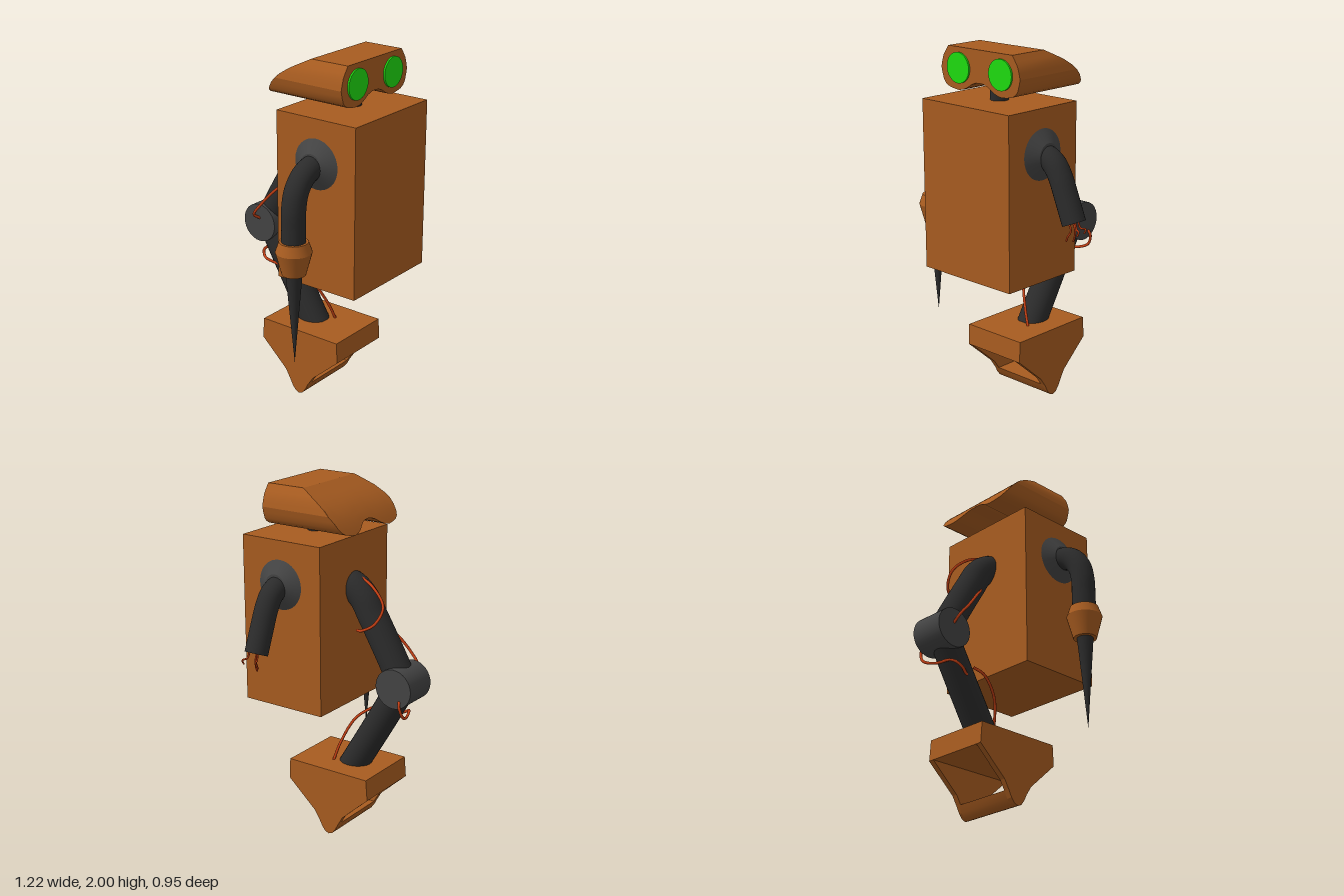
import * as THREE from 'three';
import { toCreasedNormals } from 'three/addons/utils/BufferGeometryUtils.js';

const mat = (color, extra = {}) => {
  const m = new THREE.MeshStandardMaterial(extra);
  m.color.set(color);
  return m;
};
const V = (p) => new THREE.Vector3(...p);

// Head: columns across x, each a closed loop from the front face over the sloped back
function headGeometry() {
  // x, bottom y, top y
  const half = [
    [0, 1.825, 2], [0.03, 1.823, 2], [0.06, 1.812, 2], [0.1, 1.787, 2], [0.13, 1.775, 2], [0.16, 1.77, 2],
    [0.2, 1.775, 2], [0.235, 1.783, 2], [0.258, 1.797, 1.967], [0.272, 1.815, 1.945], [0.283, 1.85, 1.91], [0.29, 1.88, 1.88],
  ];
  const cols = [...half.slice(1).reverse().map(([x, b, t]) => [-x, b, t]), ...half];
  const slope = [[1.77, -0.157], [1.8, -0.14], [1.85, -0.105], [1.9, -0.055], [1.94, 0.005], [2, 0.125]];
  const backZ = (y) => {
    let k = 0;
    while (k < slope.length - 2 && y > slope[k + 1][0]) k++;
    const [[y0, z0], [y1, z1]] = [slope[k], slope[k + 1]];
    return z0 + (z1 - z0) * (y - y0) / (y1 - y0);
  };
  const rows = 8, pos = [], idx = [], n = rows + 3;
  cols.forEach(([x, b, t]) => {
    pos.push(x, b, 0.36, x, t, 0.36);
    for (let r = 0; r <= rows; r++) {
      const y = t + (b - t) * r / rows;
      pos.push(x, y, backZ(y));
    }
  });
  for (let i = 0; i < cols.length - 1; i++) {
    for (let j = 0; j < n; j++) {
      const a = i * n + j, b = i * n + (j + 1) % n;
      idx.push(a, a + n, b, b, a + n, b + n);
    }
  }
  const g = new THREE.BufferGeometry();
  g.setAttribute('position', new THREE.Float32BufferAttribute(pos, 3));
  g.setIndex(idx);
  return toCreasedNormals(g, 0.45);
}

// Extrude a (z, y) outline across x, centred on x
function sideExtrude(outline, width, x) {
  const shape = new THREE.Shape(outline.map(([z, y]) => new THREE.Vector2(z, y)));
  const g = new THREE.ExtrudeGeometry(shape, { depth: width, bevelEnabled: false });
  return g.rotateY(-Math.PI / 2).translate(x + width / 2, 0, 0);
}

export function createModel() {
  const model = new THREE.Group();
  const shell = mat(0xa85c20), dark = mat(0x2b2b2b, { side: THREE.DoubleSide });
  const joint = mat(0x444444), green = mat(0x1edc10), red = mat(0xc84014);

  const add = (name, geo, material, x = 0, y = 0, z = 0) => {
    const m = new THREE.Mesh(geo, material);
    m.name = name;
    m.position.set(x, y, z);
    model.add(m);
    return m;
  };
  const tube = (name, pts, r, material, sides = 24) => add(name,
    new THREE.TubeGeometry(new THREE.CatmullRomCurve3(pts.map(V)), 48, r, sides), material);
  const wire = (name, pts, r = 0.008) => tube(name, pts, r, red, 8);

  // Torso, neck and head
  add('body', new THREE.BoxGeometry(0.64, 0.95, 0.515), shell, 0, 1.245, 0.218);
  add('neck', new THREE.CylinderGeometry(0.05, 0.05, 0.2, 24), dark, 0, 1.8, 0.215);
  add('head', headGeometry(), shell);

  for (const s of [-1, 1]) {
    // Eye discs
    add('eye', new THREE.CylinderGeometry(0.083, 0.083, 0.02, 32).rotateX(Math.PI / 2), green, s * 0.155, 1.89, 0.36);
    // Shoulder cones
    add('shoulder', new THREE.CylinderGeometry(0.068, 0.147, 0.05, 32).rotateZ(-s * Math.PI / 2), joint, s * 0.34, 1.475, 0.224);
  }

  // Right arm with cuff and spike
  const az = 0.222;
  tube('rightArm', [[-0.31, 1.468, az], [-0.37, 1.464, az], [-0.435, 1.43, az], [-0.483, 1.365, az],
    [-0.503, 1.28, az], [-0.505, 1.18, az], [-0.505, 1.06, az]], 0.065, dark);
  const cuff = [[0, 0.92], [0.064, 0.92], [0.098, 1.047], [0.078, 1.105], [0, 1.105]];
  add('cuff', toCreasedNormals(new THREE.LatheGeometry(cuff.map(([r, y]) => new THREE.Vector2(r, y)), 32), 0.5),
    shell, -0.505, 0, az);
  add('spike', new THREE.ConeGeometry(0.045, 0.52, 24).rotateX(Math.PI), dark, -0.505, 0.66, az);

  // Left arm: broken stump with loose wires
  tube('leftArm', [[0.31, 1.468, az], [0.36, 1.464, az], [0.405, 1.435, az], [0.445, 1.375, az],
    [0.49, 1.27, az], [0.54, 1.147, az]], 0.064, dark);
  const cap = add('armEnd', new THREE.CircleGeometry(0.064, 24), dark, 0.54, 1.147, az);
  cap.lookAt(0.92, 0.217, az);
  [[-0.035, -0.1, 0.02], [-0.005, -0.1, 0], [0.04, -0.055, -0.035], [0.057, -0.05, 0.04]].forEach(([dx, dy, dz], i) => {
    const x = 0.515 + i * 0.017, y = 1.15 + i * 0.008;
    wire('handWire', [[x, y, az + dz * 0.5], [x + 0.016, y - 0.045, az + dz * 0.7],
      [0.54 + dx + 0.01, 1.147 + dy + 0.025, az + dz], [0.54 + dx, 1.147 + dy, az + dz]], 0.005);
  });

  // Leg: bent thigh, knee drum, shin
  tube('upperLeg', [[0, 1.455, 0.03], [0, 1.435, -0.04], [0, 1.38, -0.105], [0, 1.29, -0.16], [0, 1.13, -0.255],
    [0, 0.935, -0.365]], 0.083, dark);
  add('knee', new THREE.CylinderGeometry(0.112, 0.112, 0.205, 32).rotateZ(Math.PI / 2), joint, 0.003, 0.935, -0.365);
  tube('lowerLeg', [[0, 0.935, -0.365], [0, 0.65, -0.2], [0, 0.36, -0.027]], 0.083, dark);

  // Leg wires
  wire('thighWire', [[-0.01, 1.51, -0.03], [0.02, 1.46, -0.17], [0.05, 1.365, -0.26], [0.1, 1.28, -0.24],
    [0.113, 1.235, -0.17], [0.075, 1.215, -0.11]]);
  wire('kneeWire', [[-0.075, 1.24, -0.15], [-0.125, 1.17, -0.225], [-0.155, 1.07, -0.31], [-0.145, 1.0, -0.365], [-0.09, 0.96, -0.365]]);
  wire('calfWire', [[0.09, 0.88, -0.4], [0.115, 0.85, -0.41], [0.09, 0.78, -0.42], [0.01, 0.75, -0.395],
    [-0.07, 0.755, -0.36], [-0.1, 0.73, -0.32], [-0.075, 0.7, -0.25]]);
  wire('shinWire', [[-0.07, 0.76, -0.2], [-0.09, 0.73, -0.14], [-0.045, 0.64, -0.02], [0.02, 0.5, 0.04], [0.065, 0.39, 0.062]]);

  // Foot: top block, two side plates and a rounded bottom bar
  const nose = [[-0.066, 0.075], [-0.045, 0.035], [-0.025, 0.01], [0, 0], [0.025, 0.01], [0.045, 0.035], [0.066, 0.075]];
  const block = [[0.275, 0.28], [0.27, 0.4], [-0.255, 0.4], [-0.265, 0.28]];
  add('footBlock', sideExtrude(block, 0.398, 0), shell);
  for (const s of [-1, 1]) {
    add('footSide', sideExtrude([...nose, [0.1, 0.125], ...block, [-0.095, 0.125]], 0.033, s * 0.1835), shell);
  }
  add('footBar', toCreasedNormals(sideExtrude(nose, 0.36, 0), 0.7), shell);

  return model;
}
